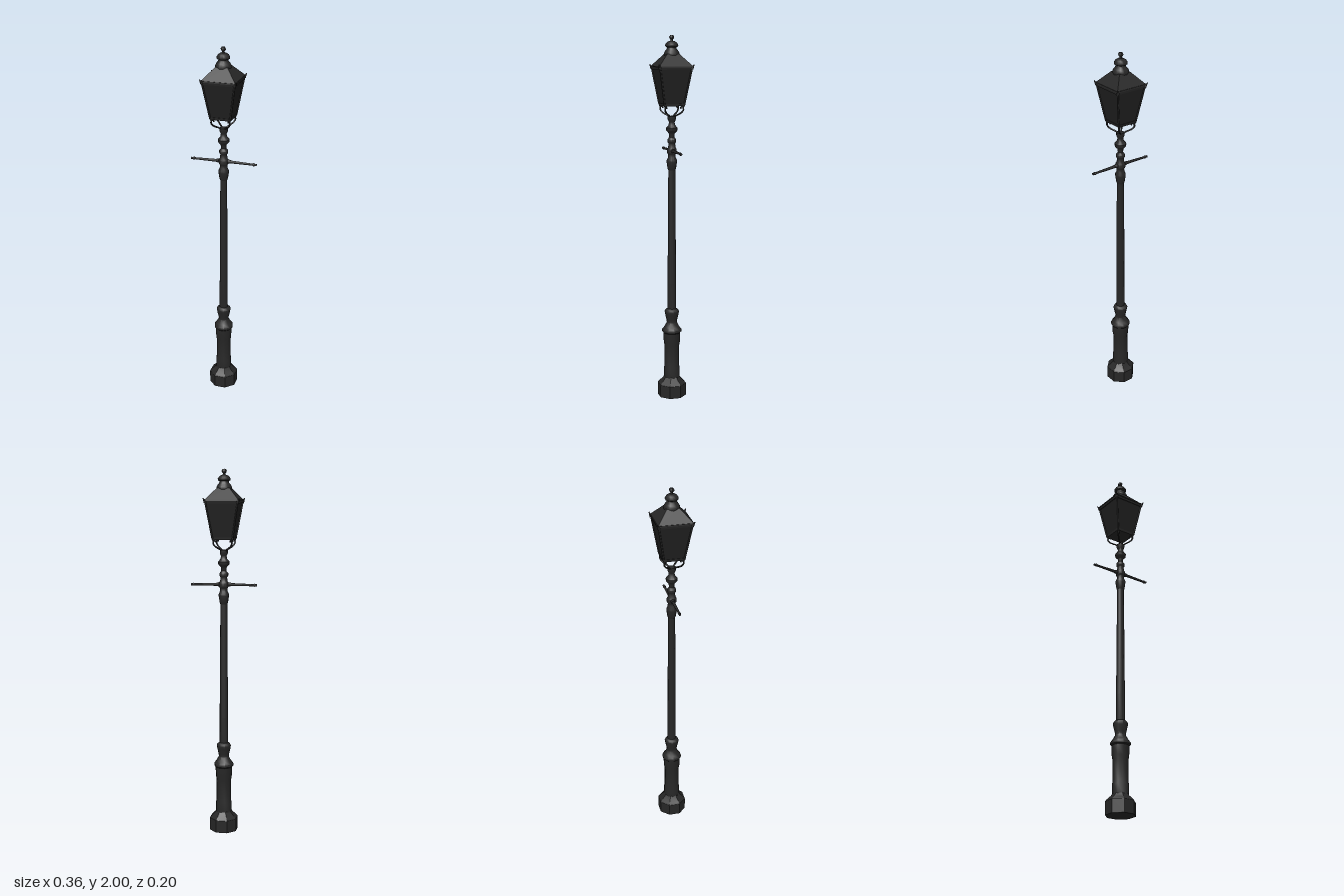
import * as THREE from 'three';
import { toCreasedNormals } from 'three/addons/utils/BufferGeometryUtils.js';

export function createModel() {
  const model = new THREE.Group();
  const iron = new THREE.MeshStandardMaterial({ color: 0x272727 });
  iron.name = 'blackIron';
  const pane = new THREE.MeshStandardMaterial({ color: 0x202020 });
  pane.name = 'darkGlass';

  const add = (name, geometry, material = iron, parent = model) => {
    const mesh = new THREE.Mesh(geometry, material);
    mesh.name = name;
    parent.add(mesh);
    return mesh;
  };
  // Turned part from [radius, y] pairs
  const turned = (name, profile, sides, crease = 0.7, parent = model) => {
    const geo = new THREE.LatheGeometry(profile.map(([r, y]) => new THREE.Vector2(r, y)), sides);
    geo.rotateY(Math.PI / sides);
    return add(name, toCreasedNormals(geo, crease), iron, parent);
  };
  // Square tapered block given by half widths
  const squareTaper = (name, top, bottom, y0, y1, material, parent) => {
    const geo = new THREE.CylinderGeometry(top * Math.SQRT2, bottom * Math.SQRT2, y1 - y0, 4);
    geo.rotateY(Math.PI / 4).translate(0, (y0 + y1) / 2, 0);
    return add(name, toCreasedNormals(geo, 0.3), material, parent);
  };
  // Straight rod between two points
  const rod = (name, a, b, ra, rb, parent, sides = 6) => {
    const from = new THREE.Vector3(...a), to = new THREE.Vector3(...b);
    const geo = new THREE.CylinderGeometry(rb, ra, from.distanceTo(to), sides);
    const mesh = add(name, geo, iron, parent);
    mesh.position.copy(from).lerp(to, 0.5);
    mesh.quaternion.setFromUnitVectors(new THREE.Vector3(0, 1, 0), to.sub(from).normalize());
    return mesh;
  };

  // Pedestal
  turned('plinth', [[0, 0], [0.08, 0], [0.08, 0.07], [0.074, 0.078], [0.05, 0.1], [0.044, 0.11]], 8, 0.5);
  turned('pedestal', [
    [0.044, 0.1], [0.044, 0.16], [0.041, 0.175], [0.041, 0.29], [0.045, 0.31],
    [0.047, 0.365], [0.054, 0.372], [0.054, 0.385], [0.042, 0.4], [0.028, 0.425],
    [0.03, 0.44], [0.038, 0.475], [0.04, 0.49], [0.034, 0.5], [0.024, 0.505],
  ], 10);

  // Tapered shaft and its turned collars
  turned('shaft', [[0.024, 0.5], [0.0235, 0.65], [0.019, 1.285]], 10);
  turned('capital', [
    [0.019, 1.28], [0.023, 1.29], [0.028, 1.325], [0.028, 1.335], [0.021, 1.35],
    [0.02, 1.365], [0.026, 1.375], [0.026, 1.395], [0.02, 1.405], [0.018, 1.425],
    [0.024, 1.435], [0.024, 1.447], [0.014, 1.46], [0.016, 1.48], [0.03, 1.495],
    [0.031, 1.51], [0.018, 1.525], [0.015, 1.54], [0.022, 1.555], [0.022, 1.572], [0, 1.575],
  ], 12);

  // Ladder bar with end knobs
  const bar = new THREE.Group();
  bar.name = 'ladderBar';
  model.add(bar);
  for (const s of [-1, 1]) {
    rod('barArm', [0, 1.387, 0], [s * 0.178, 1.385, 0], 0.009, 0.0055, bar, 8);
    rod('barCollar', [s * 0.025, 1.387, 0], [s * 0.04, 1.387, 0], 0.012, 0.009, bar, 8);
    const knob = add('barKnob', new THREE.SphereGeometry(0.0085, 8, 6), iron, bar);
    knob.position.set(s * 0.166, 1.385, 0);
    rod('barTip', [s * 0.172, 1.385, 0], [s * 0.181, 1.385, 0], 0.0065, 0.0065, bar, 8);
  }

  // Lantern
  const lantern = new THREE.Group();
  lantern.name = 'lantern';
  lantern.position.x = -0.002;
  model.add(lantern);
  squareTaper('panes', 0.087, 0.054, 1.635, 1.832, pane, lantern);
  squareTaper('bottomFrame', 0.058, 0.056, 1.628, 1.641, iron, lantern);
  squareTaper('topFrame', 0.092, 0.089, 1.82, 1.834, iron, lantern);
  squareTaper('eave', 0.093, 0.094, 1.832, 1.839, iron, lantern);
  squareTaper('roof', 0.034, 0.091, 1.838, 1.9, iron, lantern);

  // Corner bars, eave horns and scrolled brackets
  for (const sx of [-1, 1]) for (const sz of [-1, 1]) {
    rod('cornerBar', [sx * 0.054, 1.632, sz * 0.054], [sx * 0.088, 1.835, sz * 0.088], 0.005, 0.005, lantern);
    rod('eaveHorn', [sx * 0.086, 1.825, sz * 0.086], [sx * 0.096, 1.847, sz * 0.096], 0.009, 0.002, lantern);
    const path = [
      [0.01, 1.565], [0.017, 1.575], [0.032, 1.585], [0.045, 1.597],
      [0.051, 1.612], [0.047, 1.624], [0.04, 1.622], [0.039, 1.614],
    ].map(([r, y]) => new THREE.Vector3(sx * r, y, sz * r));
    add('bracket', new THREE.TubeGeometry(new THREE.CatmullRomCurve3(path), 20, 0.0045, 6), iron, lantern);
    rod('bracketPin', [sx * 0.049, 1.617, sz * 0.049], [sx * 0.053, 1.634, sz * 0.053], 0.0045, 0.0045, lantern);
  }

  // Vent cap and finial
  turned('ventCap', [
    [0.038, 1.885], [0.042, 1.892], [0.042, 1.905], [0.036, 1.916], [0.027, 1.926],
    [0.025, 1.935], [0.034, 1.94], [0.035, 1.948], [0.028, 1.96], [0.015, 1.968], [0, 1.97],
  ], 14, 0.7, lantern);
  turned('finial', [
    [0.009, 1.965], [0.007, 1.976], [0.013, 1.983], [0.014, 1.99], [0.009, 1.998], [0, 2],
  ], 6, 0.7, lantern);

  return model;
}
